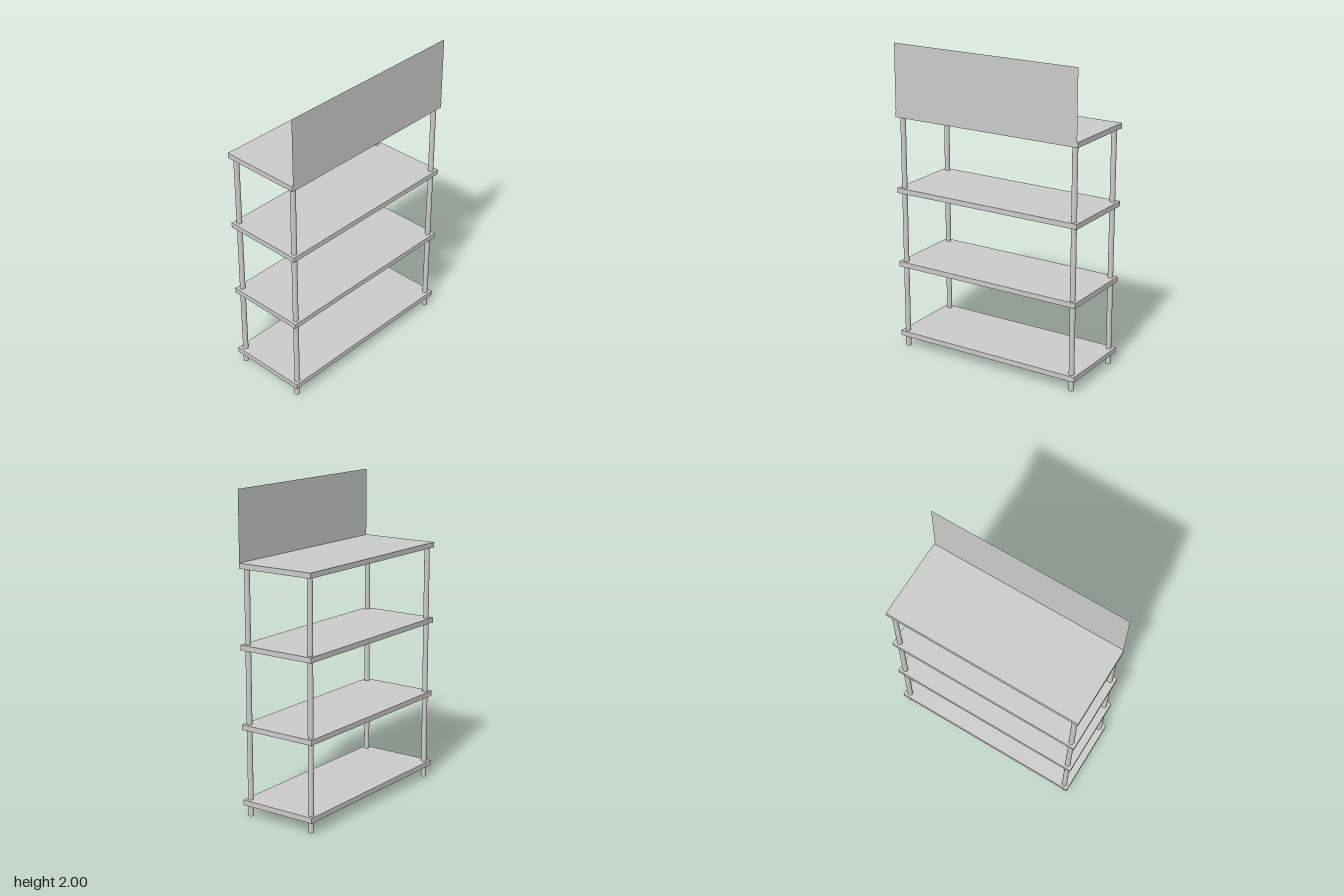
import * as THREE from 'three';

export function createModel() {
  const group = new THREE.Group();
  group.name = 'shelvingUnit';
  const material = new THREE.MeshStandardMaterial({ color: 0xcccccc });
  const add = (name, geometry, x, y, z, mat = material) => {
    const mesh = new THREE.Mesh(geometry, mat);
    mesh.name = name;
    mesh.position.set(x, y, z);
    group.add(mesh);
  };

  // Four flat shelves
  const shelf = new THREE.BoxGeometry(1.3, 0.033, 0.524);
  [0.088, 0.567, 1.06, 1.551].forEach((y, i) => add(`shelf${i + 1}`, shelf, 0, y, 0));

  // Round corner posts running from the floor up into the top shelf
  const postHeight = 1.55;
  const post = new THREE.CylinderGeometry(0.017, 0.017, postHeight, 24);
  for (const [side, x] of [['Left', 0.615], ['Right', -0.615]]) {
    add(`front${side}Post`, post, x, postHeight / 2, 0.231);
    add(`back${side}Post`, post, x, postHeight / 2, -0.231);
  }

  // Thin sign panel standing along the front edge of the top shelf
  const thin = material.clone();
  thin.side = THREE.DoubleSide;
  add('frontPanel', new THREE.PlaneGeometry(1.29, 0.465), 0, 1.7675, 0.264, thin);

  return group;
}
